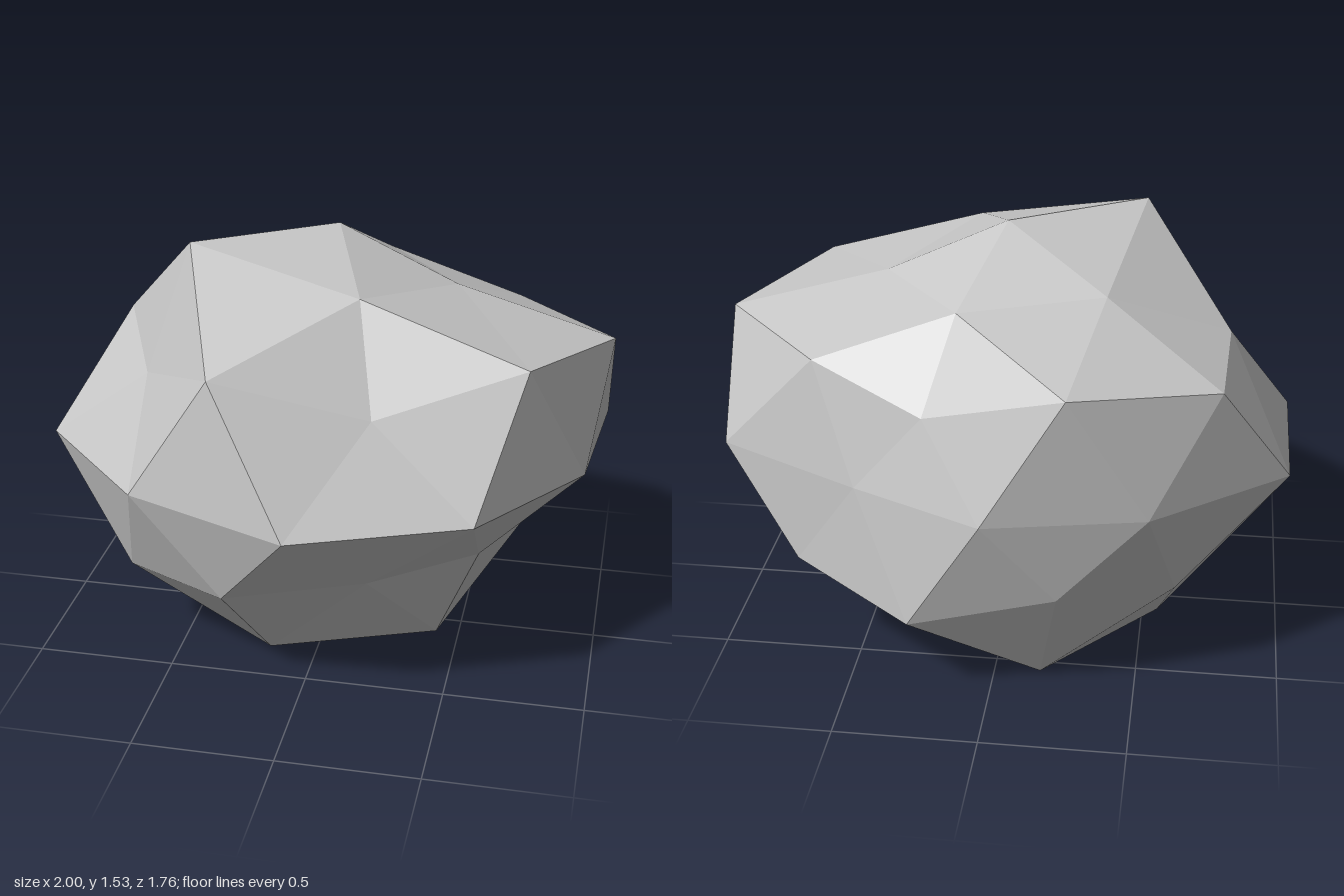
import * as THREE from 'three';

// Rows of a faceted sphere from top to bottom:
// y = height and h = horizontal radius on the unit sphere for even / odd points,
// start = azimuth of the first point in degrees, r = how far each point is pushed out
const ROWS = [
  { start: 0, y: [1], h: [0], r: [0.931] },
  { start: 0, y: [0.8507], h: [0.5257], r: [0.812, 0.92, 1.092, 0.85, 0.806] },
  { start: 0, y: [0.4472, 0.5257], h: [0.8944, 0.8507],
    r: [1.108, 1.066, 0.844, 1.088, 0.842, 0.918, 1.055, 1.043, 0.777, 0.9] },
  { start: 18, y: [0], h: [1],
    r: [0.974, 1.014, 1.082, 1.007, 1.059, 1.057, 0.925, 0.875, 0.777, 1.027] },
  { start: 0, y: [-0.5257, -0.4472], h: [0.8507, 0.8944],
    r: [0.816, 0.798, 0.793, 0.978, 1.0, 0.968, 0.92, 0.88, 0.986, 0.957] },
  { start: 36, y: [-0.8507], h: [0.5257], r: [0.99, 1.024, 1.072, 1.056, 0.932] },
  { start: 0, y: [-1], h: [0], r: [0.855] },
];
const CENTRE = new THREE.Vector3(0.007, 0.757, -0.097);
const SCALE = new THREE.Vector3(1, 0.83, 0.9);

function rowPoints({ start, y, h, r }) {
  return r.map((radius, i) => {
    const a = THREE.MathUtils.degToRad(start + (360 / r.length) * i);
    const hi = h[i % h.length];
    return new THREE.Vector3(hi * Math.cos(a), y[i % y.length], hi * Math.sin(a))
      .multiplyScalar(radius).multiply(SCALE).add(CENTRE);
  });
}

function rockGeometry() {
  const rows = ROWS.map(rowPoints);
  const at = (row, i) => rows[row][(i + rows[row].length) % rows[row].length];
  const corners = [];
  const tri = (a, b, c) => corners.push(a, b, c);

  for (let k = 0; k < 5; k++) {
    // fans around the top and bottom points
    tri(at(0, 0), at(1, k + 1), at(1, k));
    tri(at(6, 0), at(5, k), at(5, k + 1));
    // upper cap down to the upper row
    const u = 2 * k;
    tri(at(1, k), at(2, u), at(2, u - 1));
    tri(at(1, k), at(2, u + 1), at(2, u));
    tri(at(2, u + 1), at(1, k), at(1, k + 1));
    // lower cap up to the lower row
    const l = 2 * k + 1;
    tri(at(5, k), at(4, l - 1), at(4, l));
    tri(at(5, k), at(4, l), at(4, l + 1));
    tri(at(4, l + 1), at(5, k + 1), at(5, k));
  }
  // zigzag bands above and below the middle row
  for (let j = 0; j < 10; j++) {
    tri(at(3, j), at(2, j), at(2, j + 1));
    tri(at(2, j), at(3, j), at(3, j - 1));
    tri(at(4, j), at(3, j - 1), at(3, j));
    tri(at(3, j), at(4, j + 1), at(4, j));
  }
  const geometry = new THREE.BufferGeometry().setFromPoints(corners);
  geometry.computeVertexNormals();
  return geometry;
}

export function createModel() {
  const stone = new THREE.MeshStandardMaterial({ color: 0xc5c5c5, flatShading: true });
  stone.name = 'stone grey';

  const rock = new THREE.Mesh(rockGeometry(), stone);
  rock.name = 'rock';

  const group = new THREE.Group();
  group.name = 'boulder';
  group.add(rock);
  return group;
}
